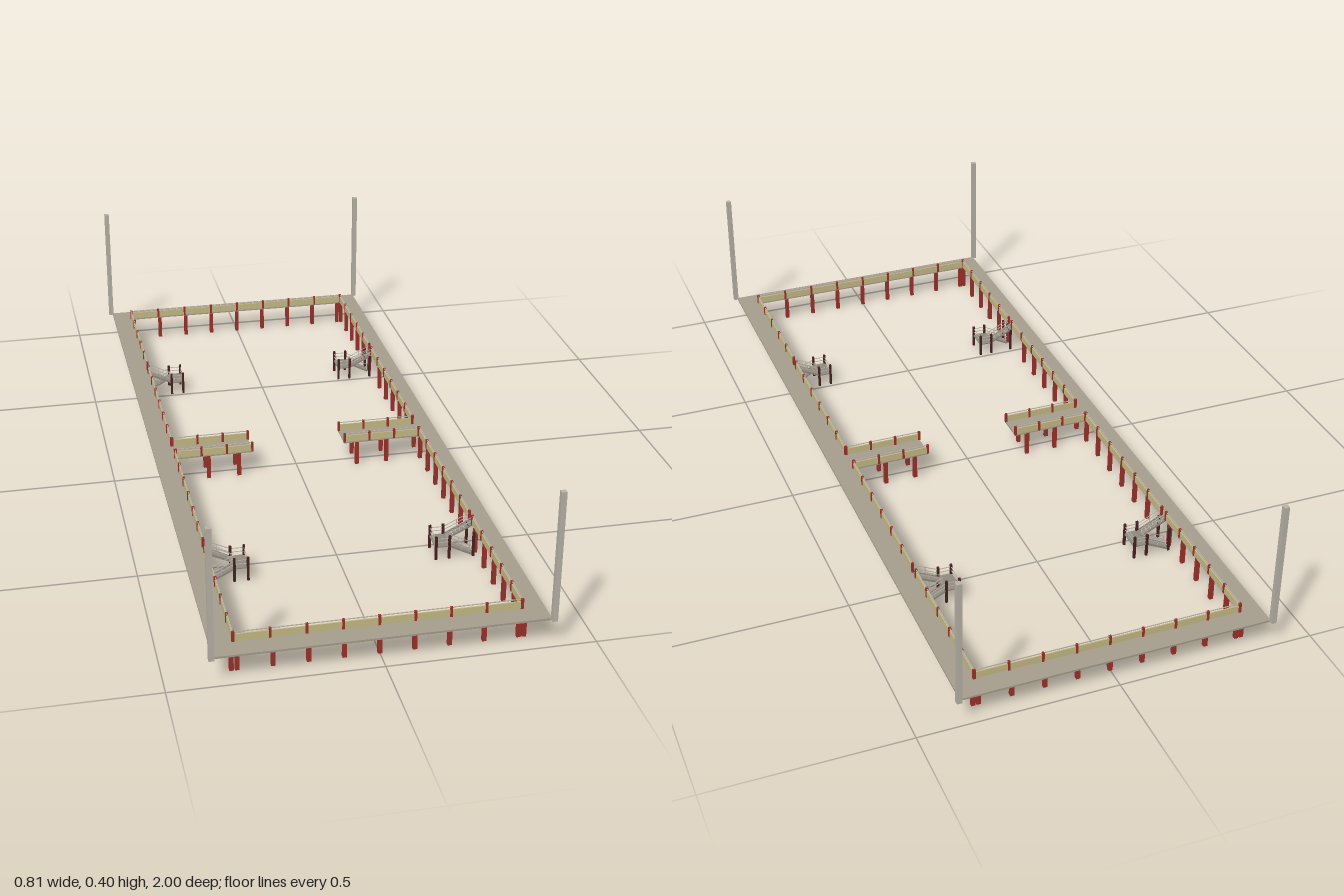
import * as THREE from 'three';

const mat = (color) => new THREE.MeshStandardMaterial({ color });
const M = {
  deck: mat(0xa59d8c), panel: mat(0xc6ba86), red: mat(0x9c3028),
  steel: mat(0xb8b2a6), stair: mat(0x8f8a80), dark: mat(0x4a2020),
};

function box(parent, name, m, w, h, d, x, y, z) {
  const mesh = new THREE.Mesh(new THREE.BoxGeometry(w, h, d), m);
  mesh.position.set(x, y, z);
  mesh.name = name;
  parent.add(mesh);
  return mesh;
}

// Square bar between two points
function bar(parent, name, m, a, b, h, d) {
  const A = new THREE.Vector3(...a), B = new THREE.Vector3(...b);
  const mesh = box(parent, name, m, A.distanceTo(B), h, d, 0, 0, 0);
  mesh.position.copy(A).add(B).multiplyScalar(0.5);
  mesh.quaternion.setFromUnitVectors(new THREE.Vector3(1, 0, 0), B.sub(A).normalize());
  return mesh;
}

const TOP = 0.071, PILE = 0.067;

// Toe panel, posts and hand rail along a straight deck edge
function fence(parent, x0, z0, x1, z1, n) {
  const g = new THREE.Group();
  g.name = 'fence';
  const w = Math.abs(x1 - x0), d = Math.abs(z1 - z0);
  const cx = (x0 + x1) / 2, cz = (z0 + z1) / 2;
  box(g, 'fencePanel', M.panel, w + 0.003, 0.019, d + 0.003, cx, TOP + 0.0095, cz);
  box(g, 'handRail', M.steel, w + 0.002, 0.002, d + 0.002, cx, 0.0955, cz);
  for (let i = 0; i <= n; i++) {
    const t = i / n;
    box(g, 'fencePost', M.red, 0.006, 0.027, 0.006,
      x0 + (x1 - x0) * t, TOP + 0.0125, z0 + (z1 - z0) * t);
  }
  parent.add(g);
}

function pile(parent, x, z, size = 0.01) {
  box(parent, 'pile', M.red, size, PILE, size, x, PILE / 2, z);
}

// One flight with treads, stringers and railings on both sides
function flight(parent, xa, ya, xb, yb, z0, z1) {
  const g = new THREE.Group();
  g.name = 'flight';
  const steps = 7;
  for (let i = 0; i < steps; i++) {
    const t = (i + 0.5) / steps;
    box(g, 'tread', M.stair, 0.01, 0.0015, z1 - z0,
      xa + (xb - xa) * t, ya + (yb - ya) * t, (z0 + z1) / 2);
  }
  for (const z of [z0, z1]) {
    bar(g, 'stringer', M.stair, [xa, ya, z], [xb, yb, z], 0.005, 0.0015);
    for (const r of [0.012, 0.022]) {
      bar(g, 'stairRail', M.steel, [xa, ya + r, z], [xb, yb + r, z], 0.0015, 0.0015);
    }
    for (const t of [0.05, 0.5, 0.95]) {
      box(g, 'baluster', M.steel, 0.0015, 0.022, 0.0015,
        xa + (xb - xa) * t, ya + (yb - ya) * t + 0.011, z);
    }
  }
  parent.add(g);
}

// Two flights folding back at a landing, built for +x +z
function stair() {
  const g = new THREE.Group();
  g.name = 'stair';
  const mid = 0.035;
  flight(g, 0.34, 0.069, 0.27, mid, 0.513, 0.538);
  flight(g, 0.27, mid, 0.335, 0.002, 0.546, 0.571);
  box(g, 'landing', M.stair, 0.04, 0.003, 0.062, 0.255, mid, 0.542);
  for (const z of [0.512, 0.572]) {
    for (const x of [0.237, 0.271]) {
      box(g, 'landingPost', M.dark, 0.006, 0.064, 0.006, x, 0.032, z);
    }
    for (const y of [0.047, 0.057]) {
      box(g, 'landingRail', M.steel, 0.036, 0.0015, 0.0015, 0.254, y, z);
    }
    box(g, 'stairPost', M.dark, 0.006, PILE, 0.006, 0.333, PILE / 2, z);
  }
  for (const y of [0.047, 0.057]) {
    box(g, 'landingRail', M.steel, 0.0015, 0.0015, 0.06, 0.237, y, 0.542);
  }
  return g;
}

// Rectangular walkway with two piers reaching inward
function deck() {
  const s = new THREE.Shape();
  const rect = (p, x, z) => {
    p.moveTo(-x, -z); p.lineTo(x, -z); p.lineTo(x, z); p.lineTo(-x, z); p.closePath();
  };
  rect(s, 0.392, 0.99);
  const hole = new THREE.Path();
  const X = 0.339, Z = 0.937, P = 0.127, W = 0.035;
  [[-X, -Z], [X, -Z], [X, -W], [P, -W], [P, W], [X, W], [X, Z], [-X, Z],
    [-X, W], [-P, W], [-P, -W], [-X, -W]].forEach(([x, z], i) =>
    i ? hole.lineTo(x, z) : hole.moveTo(x, z));
  hole.closePath();
  s.holes.push(hole);
  const geo = new THREE.ExtrudeGeometry(s, { depth: 0.005, bevelEnabled: false });
  geo.rotateX(-Math.PI / 2);
  const mesh = new THREE.Mesh(geo, M.deck);
  mesh.position.y = TOP - 0.005;
  mesh.name = 'deck';
  return mesh;
}

export function createModel() {
  const root = new THREE.Group();
  root.name = 'walkway';
  root.add(deck());

  for (const sz of [-1, 1]) {
    // End row
    fence(root, -0.337, sz * 0.936, 0.337, sz * 0.936, 8);
    for (let i = -4; i <= 4; i++) pile(root, i * 0.0825, sz * 0.942);

    for (const sx of [-1, 1]) {
      // Long sides, open at the stair and the pier
      fence(root, sx * 0.338, sz * 0.936, sx * 0.338, sz * 0.54, 5);
      fence(root, sx * 0.338, sz * 0.514, sx * 0.338, sz * 0.036, 6);
      for (let i = 0; i <= 5; i++) pile(root, sx * 0.343, sz * (0.942 - i * 0.0775));
      for (let i = 0; i <= 5; i++) pile(root, sx * 0.343, sz * (0.034 + i * 0.0785));

      // Pier edges
      fence(root, sx * 0.336, sz * 0.035, sx * 0.128, sz * 0.035, 3);
      for (const x of [0.164, 0.247]) pile(root, sx * x, sz * 0.031);

      // Corner mast
      box(root, 'cornerMast', M.steel, 0.013, 0.335, 0.013, sx * 0.396, 0.2345, sz * 0.9935);

      // Stair, turned by mirroring
      const st = stair();
      st.scale.set(sx, 1, sz);
      root.add(st);
    }
  }
  return root;
}
